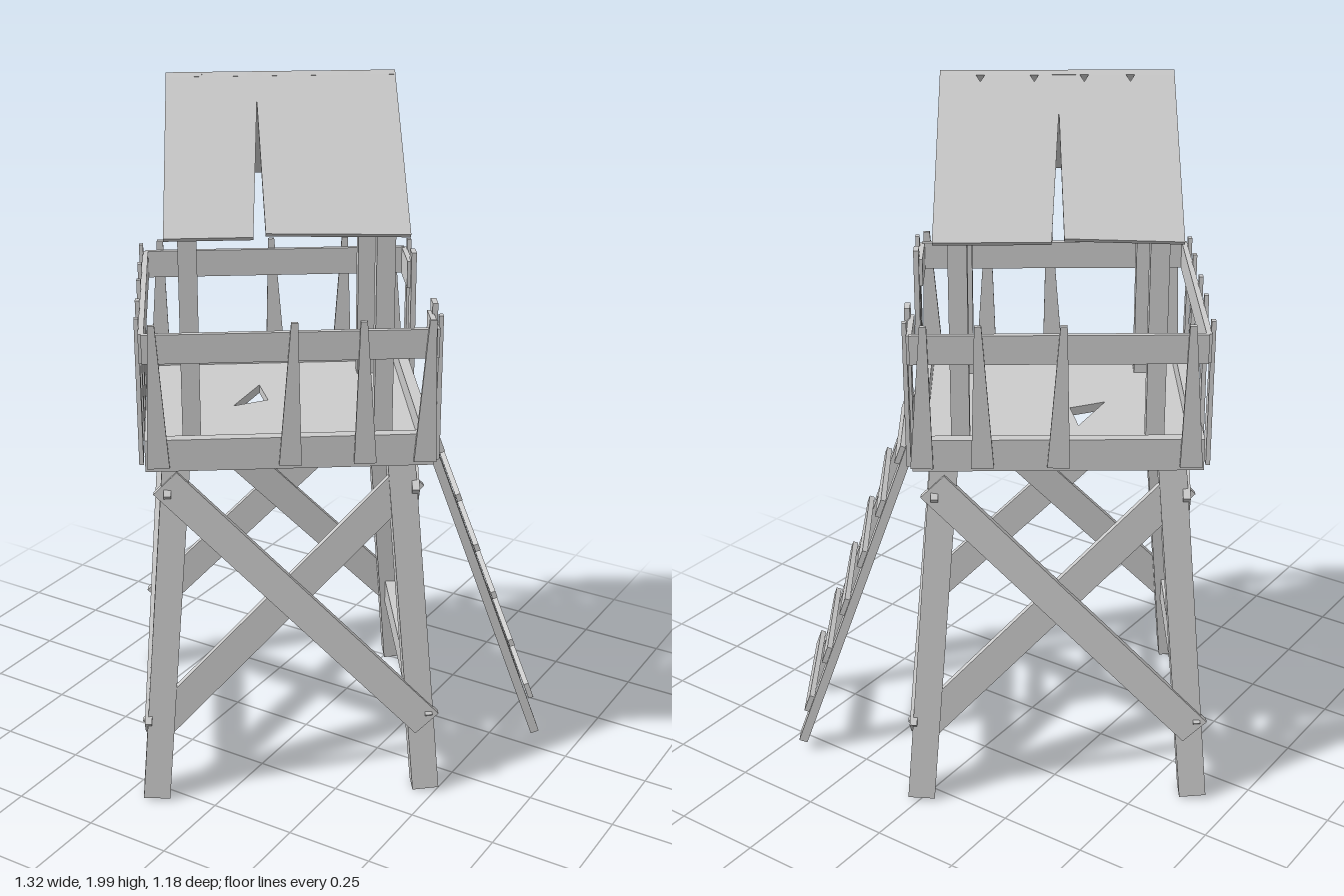
import * as THREE from 'three';

const wood = new THREE.MeshStandardMaterial({ color: 0xcccccc });
wood.name = 'bare wood';
const V = (x, y, z) => new THREE.Vector3(x, y, z);

// Plank from a to b: width w at a, w2 at b, thickness t along the outward direction.
function plank(parent, name, a, b, w, t, out = V(0, 0, 1), w2 = w) {
  const dir = b.clone().sub(a);
  const geo = new THREE.BoxGeometry(1, dir.length(), t);
  const p = geo.attributes.position;
  for (let i = 0; i < p.count; i++) p.setX(i, p.getX(i) * (p.getY(i) > 0 ? w2 : w));
  geo.computeVertexNormals();
  const y = dir.normalize();
  const x = y.clone().cross(out).normalize();
  const mesh = new THREE.Mesh(geo, wood);
  mesh.name = name;
  mesh.quaternion.setFromRotationMatrix(new THREE.Matrix4().makeBasis(x, y, x.clone().cross(y)));
  mesh.position.copy(a).add(b).multiplyScalar(0.5);
  parent.add(mesh);
}

// Half of the splayed frame's width at height y
const half = (y) => 0.385 - 0.08 * y;

// Crossed braces of one side, facing +z
function braceSide() {
  const side = new THREE.Group();
  side.name = 'crossBraces';
  for (const s of [-1, 1]) {
    const off = s > 0 ? 0.035 : 0.022;
    plank(side, 'crossBrace', V(-s * 0.335, 0.965, half(0.965) + off),
      V(s * 0.385, 0.225, half(0.225) + off), 0.09, 0.02);
  }
  return side;
}

// Skirt, handrail and pickets of one side, facing +z; w is half its width, d its distance
function railSide(w, d, pickets, hasOpening) {
  const side = new THREE.Group();
  side.name = hasOpening ? 'entranceRailing' : 'railing';
  plank(side, 'platformSkirt', V(-w, 1.06, d - 0.015), V(w, 1.06, d - 0.015), 0.09, 0.03);
  if (hasOpening) {
    for (const s of [-1, 1]) {
      plank(side, 'shortHandrail', V(s * 0.22, 1.36, d), V(s * w, 1.36, d), 0.08, 0.015);
      plank(side, 'openingPost', V(s * 0.23, 1.03, d + 0.01), V(s * 0.23, 1.43, d + 0.01),
        0.055, 0.015, V(0, 0, 1), 0.045);
    }
  } else {
    plank(side, 'handrail', V(-w, 1.362, d), V(w, 1.362, d), 0.08, 0.015);
  }
  pickets.forEach((x, i) => {
    plank(side, 'picket', V(x, 1.03, d + 0.01), V(x + (i % 2 ? 0.012 : -0.008), 1.43, d + 0.012),
      0.06, 0.012, V(0, 0, 1), 0.018);
  });
  return side;
}

// One roof slope facing +z, with a tapered slit and small notches at the ridge
function roofSlope(slit, slitTop, notches) {
  const run = 0.348, rise = 0.355, len = Math.hypot(run, rise);
  const shape = new THREE.Shape();
  shape.moveTo(-0.32, -len);
  shape.lineTo(slit - 0.02, -len);
  shape.lineTo(slit + 0.003, slitTop);
  shape.lineTo(slit + 0.012, -len + 0.01);
  shape.lineTo(0.315, -len);
  shape.lineTo(0.305, 0);
  for (const x of notches) {
    shape.lineTo(x + 0.02, 0);
    shape.lineTo(x, -0.035);
    shape.lineTo(x - 0.02, 0);
  }
  shape.lineTo(-0.305, 0);
  const geo = new THREE.ExtrudeGeometry(shape, { depth: 0.015, bevelEnabled: false });
  geo.translate(0, 0, -0.015);
  geo.rotateX(-Math.atan2(run, rise));
  geo.translate(0, 2, 0);
  const mesh = new THREE.Mesh(geo, wood);
  mesh.name = 'roofSlope';
  return mesh;
}

// Thin floor with a small broken hole
function platformFloor(w, d) {
  const shape = new THREE.Shape();
  shape.moveTo(-w, -d);
  shape.lineTo(w, -d);
  shape.lineTo(w, d);
  shape.lineTo(-w, d);
  const hole = new THREE.Path();
  hole.moveTo(-0.14, 0);
  hole.lineTo(-0.06, 0.16);
  hole.lineTo(-0.04, 0.04);
  shape.holes.push(hole);
  const geo = new THREE.ExtrudeGeometry(shape, { depth: 0.025, bevelEnabled: false });
  geo.rotateX(-Math.PI / 2);
  const mesh = new THREE.Mesh(geo, wood);
  mesh.name = 'platformFloor';
  mesh.position.y = 1.025;
  return mesh;
}

export function createModel() {
  const model = new THREE.Group();
  model.name = 'watchtower';
  const tower = new THREE.Group();
  tower.name = 'tower';
  tower.rotation.y = 0.61;
  tower.position.x = -0.08;
  model.add(tower);

  // splayed legs and roof posts
  for (const sx of [-1, 1]) for (const sz of [-1, 1]) {
    const b = half(0), t = half(1.03);
    plank(tower, 'leg', V(sx * b, 0.012, sz * b), V(sx * t, 1.03, sz * t), 0.075, 0.075);
    plank(tower, 'roofPost', V(sx * 0.26, 1.03, sz * 0.25), V(sx * 0.26, 1.695, sz * 0.25), 0.05, 0.05);
  }
  for (let k = 0; k < 4; k++) {
    const side = braceSide();
    side.rotation.y = k * Math.PI / 2;
    tower.add(side);
  }

  // platform, a little shallower than wide; the entrance is on +x
  const platform = new THREE.Group();
  platform.name = 'platform';
  platform.position.z = 0.012;
  const w = 0.385, d = 0.372;
  const long = [-0.35, 0, 0.2, 0.36];
  [
    railSide(w, d, long, false),
    railSide(d, w, [-0.34, 0.34], true),
    railSide(w, d, long.map((x) => -x), false),
    railSide(d, w, [-0.34, -0.17, 0, 0.16, 0.33], false),
  ].forEach((side, k) => {
    side.rotation.y = k * Math.PI / 2;
    platform.add(side);
  });
  platform.add(platformFloor(w - 0.01, d - 0.01));
  tower.add(platform);

  // lower ties and gable ties on the two gable sides
  for (const s of [-1, 1]) {
    const x = s * half(0.26);
    plank(tower, 'lowerTie', V(x, 0.26, -0.37), V(x, 0.26, 0.37), 0.075, 0.04, V(s, 0, 0));
    plank(tower, 'gableTie', V(s * 0.27, 1.675, -0.28), V(s * 0.27, 1.675, 0.28), 0.04, 0.04, V(s, 0, 0));
  }

  // roof
  tower.add(roofSlope(-0.07, -0.09, []));
  const backSlope = roofSlope(0, -0.12, [0.19, 0.07, -0.06, -0.2]);
  backSlope.rotation.y = Math.PI;
  tower.add(backSlope);

  // leaning ladder with tapered rungs
  const ladder = new THREE.Group();
  ladder.name = 'ladder';
  const out = V(1, 0.36, 0);
  const railX = (y) => 0.76 - 0.36 * y;
  for (const s of [-1, 1]) {
    plank(ladder, 'ladderRail', V(railX(0.04), 0.04, 0.005 + s * 0.155),
      V(railX(1.03), 1.03, 0.005 + s * 0.155), 0.052, 0.025, out);
  }
  [0.17, 0.335, 0.495, 0.65, 0.81, 0.975].forEach((y, i) => {
    const x = railX(y) + 0.022;
    plank(ladder, 'rung', V(x, y, -0.175), V(x, y + 0.01, 0.18), 0.055, 0.015, out,
      i === 0 || i === 5 ? 0.05 : 0.022);
  });
  tower.add(ladder);

  return model;
}
